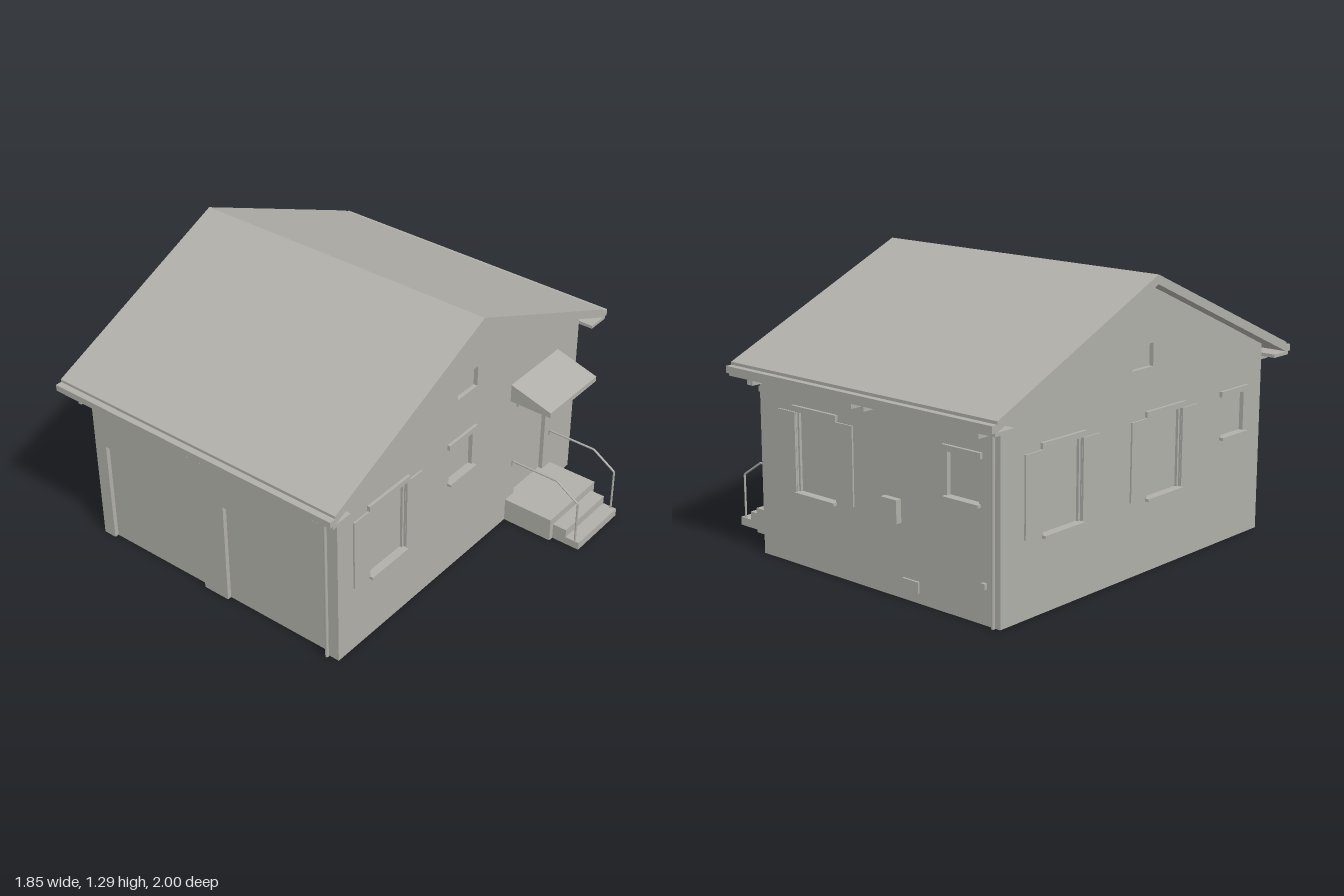
import * as THREE from 'three';

const plaster = new THREE.MeshStandardMaterial({ color: 0xb0afa9 });
plaster.name = 'warm grey';
const T = 0.02; // wall thickness

function add(parent, name, geometry) {
  const mesh = new THREE.Mesh(geometry, plaster);
  mesh.name = name;
  parent.add(mesh);
  return mesh;
}

// Box given by its minimum and maximum on each axis
function box(parent, name, x0, x1, y0, y1, z0, z1) {
  const g = new THREE.BoxGeometry(x1 - x0, y1 - y0, z1 - z0);
  g.translate((x0 + x1) / 2, (y0 + y1) / 2, (z0 + z1) / 2);
  return add(parent, name, g);
}

const toShape = (pts) => new THREE.Shape(pts.map(([x, y]) => new THREE.Vector2(x, y)));

// Wall drawn in (u, v), outer face on local z = 0; openings are [u0, u1, v0, v1]
function wall(parent, outline, openings) {
  const shape = toShape(outline);
  for (const [a, b, c, d] of openings) {
    shape.holes.push(new THREE.Path([[a, c], [a, d], [b, d], [b, c]].map(([x, y]) => new THREE.Vector2(x, y))));
  }
  const g = new THREE.ExtrudeGeometry(shape, { depth: T, bevelEnabled: false });
  g.translate(0, 0, -T);
  add(parent, 'wall', g);
}

// Recessed panel closing an opening
function panel(parent, name, [a, b, c, d]) {
  box(parent, name, a - 0.005, b + 0.005, c, d + 0.005, -T - 0.012, -T);
}

const largeOpening = (u) => [u - 0.122, u + 0.122, 0.325, 0.68];
const smallOpening = (u) => [u - 0.085, u + 0.085, 0.485, 0.672];
const gableOpening = [-0.07, 0.07, 0.89, 0.99];

function largeWindow(parent, u) {
  panel(parent, 'windowPane', largeOpening(u));
  box(parent, 'windowLintel', u - 0.135, u + 0.135, 0.68, 0.705, 0, 0.014);
  box(parent, 'windowSill', u - 0.122, u + 0.122, 0.314, 0.327, -T, 0.02);
  for (const s of [-1, 1]) {
    const c = u + s * 0.175;
    box(parent, 'shutter', c - 0.052, c + 0.052, 0.33, 0.675, 0, 0.008);
    box(parent, 'windowFrame', u + s * 0.117 - 0.005, u + s * 0.117 + 0.005, 0.327, 0.68, -T, -0.008);
  }
}

function smallWindow(parent, u) {
  panel(parent, 'smallPane', smallOpening(u));
  box(parent, 'smallLintel', u - 0.102, u + 0.102, 0.67, 0.695, 0, 0.014);
  box(parent, 'smallSill', u - 0.095, u + 0.095, 0.474, 0.487, -T, 0.02);
}

function drainpipe(parent, u) {
  const g = new THREE.CylinderGeometry(0.008, 0.008, 0.81, 10);
  g.translate(u, 0.405, 0.008);
  add(parent, 'drainpipe', g);
}

function side(house, name, angle, x, z) {
  const g = new THREE.Group();
  g.name = name;
  g.rotation.y = angle;
  g.position.set(x, 0, z);
  house.add(g);
  return g;
}

export function createModel() {
  const house = new THREE.Group();
  house.name = 'house';
  const X0 = -0.855, X1 = 0.53, Z = 0.875, EAVE = 0.86;
  const gable = [[-Z, 0], [Z, 0], [Z, EAVE], [0, 1.255], [-Z, EAVE]];

  // Front with two garage bays
  const front = side(house, 'front', 0, 0, Z);
  const bays = [[-0.79, -0.23], [-0.095, 0.46]];
  const outline = [[X0 + T, 0]];
  for (const [a, b] of bays) outline.push([a, 0], [a, 0.51], [b, 0.51], [b, 0]);
  outline.push([X1 - T, 0], [X1 - T, EAVE], [X0 + T, EAVE]);
  wall(front, outline, []);
  for (const [a, b] of bays) panel(front, 'garageDoor', [a, b, 0, 0.51]);
  drainpipe(front, 0.473);

  // Back, where u = -x
  const back = side(house, 'back', Math.PI, 0, -Z);
  wall(back, [[-X1 + T, 0], [-X0 - T, 0], [-X0 - T, EAVE], [-X1 + T, EAVE]], [largeOpening(-0.18), smallOpening(0.66)]);
  largeWindow(back, -0.18);
  smallWindow(back, 0.66);
  box(back, 'meterBox', 0.23, 0.32, 0.32, 0.42, 0, 0.028);
  box(back, 'wallPipe', 0.33, 0.42, 0.085, 0.093, 0, 0.01);
  box(back, 'wallPipe', 0.412, 0.42, 0.045, 0.093, 0, 0.01);
  box(back, 'tap', 0.765, 0.785, 0.15, 0.175, 0, 0.014);
  drainpipe(back, 0.825);

  // Left gable, where u is z on the -x side
  const westSide = side(house, 'garageEndGable', -Math.PI / 2, X0, 0);
  wall(westSide, gable, [largeOpening(-0.51), largeOpening(0.155), smallOpening(0.66), gableOpening]);
  largeWindow(westSide, -0.51);
  largeWindow(westSide, 0.155);
  smallWindow(westSide, 0.66);
  panel(westSide, 'gableVent', gableOpening);

  // Entrance gable, where u = -z
  const entrance = side(house, 'entranceGable', Math.PI / 2, X1, 0);
  const doorway = [0.405, 0.64, 0.115, 0.61];
  wall(entrance, gable, [largeOpening(-0.548), smallOpening(-0.035), doorway, gableOpening]);
  largeWindow(entrance, -0.548);
  smallWindow(entrance, -0.035);
  panel(entrance, 'gableVent', gableOpening);
  panel(entrance, 'door', doorway);
  box(entrance, 'doorLintel', 0.387, 0.657, 0.61, 0.635, 0, 0.01);
  box(entrance, 'letterBox', 0.695, 0.748, 0.48, 0.57, 0, 0.025);

  // Sloped awning over the door
  const awning = new THREE.ExtrudeGeometry(
    toShape([[X1, 0.665], [0.74, 0.665], [0.74, 0.69], [X1, 0.752]]), { depth: 0.37, bevelEnabled: false });
  awning.translate(0, 0, -0.707);
  add(house, 'awning', awning);

  // Landing and steps
  box(house, 'landing', X1, 0.78, 0, 0.115, -0.707, -0.337);
  box(house, 'upperStep', 0.78, 0.85, 0, 0.078, -0.683, -0.362);
  box(house, 'lowerStep', 0.85, 0.92, 0, 0.038, -0.683, -0.362);

  // Handrails
  for (const z of [-0.37, -0.675]) {
    const pts = [[0.538, 0.295], [0.538, 0.32], [0.78, 0.32], [0.895, 0.245], [0.895, 0.035]];
    const path = new THREE.CurvePath();
    for (let i = 1; i < pts.length; i++) {
      path.add(new THREE.LineCurve3(new THREE.Vector3(...pts[i - 1], z), new THREE.Vector3(...pts[i], z)));
    }
    add(house, 'handrail', new THREE.TubeGeometry(path, 80, 0.005, 8));
  }

  // Roof slab with eave edges, extruded along x
  const half = [[0.97, 0.863], [0.97, 0.85], [1, 0.85], [1, 0.82], [0.97, 0.82]];
  const profile = [[0, 1.29], ...half, [0, 1.25], ...half.map(([z, y]) => [-z, y]).reverse()];
  const roof = new THREE.ExtrudeGeometry(toShape(profile), { depth: 1.525, bevelEnabled: false });
  roof.rotateY(Math.PI / 2);
  roof.translate(-0.925, 0, 0);
  add(house, 'roof', roof);

  // Soffits and the bracket ends beneath them
  for (const s of [-1, 1]) {
    const span = (a, b) => (s > 0 ? [a, b] : [-b, -a]);
    box(house, 'soffit', -0.925, 0.6, 0.805, 0.82, ...span(Z, 0.985));
    for (const x of [-0.82, -0.2, -0.13, 0.475, 0.495]) {
      box(house, 'eaveBracket', x - 0.008, x + 0.008, 0.778, 0.805, ...span(Z, 0.968));
    }
  }

  // Flat ceiling inside the open-bottomed shell
  box(house, 'ceiling', X0 + T, X1 - T, 0.78, 0.8, -Z + T, Z - T);
  return house;
}
